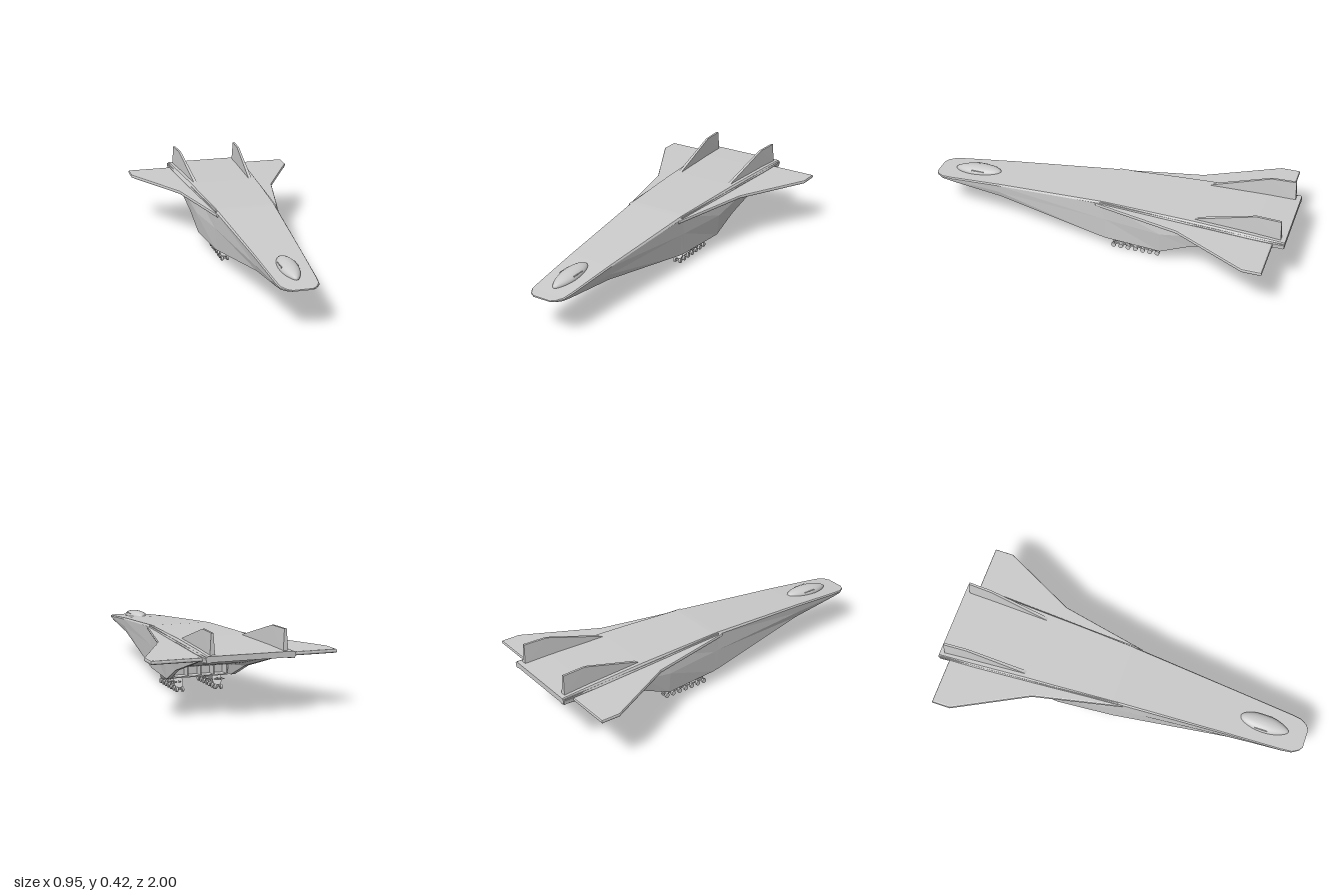
import * as THREE from 'three';

const grey = () => new THREE.MeshStandardMaterial({ color: 0xcccccc, side: THREE.DoubleSide });
const flat = () => new THREE.MeshStandardMaterial({ color: 0xcccccc, flatShading: true });

function add(parent, name, geometry, material = flat()) {
  const mesh = new THREE.Mesh(geometry, material);
  mesh.name = name;
  parent.add(mesh);
  return mesh;
}

function box(parent, name, w, h, d, x, y, z) {
  const mesh = add(parent, name, new THREE.BoxGeometry(w, h, d));
  mesh.position.set(x, y, z);
  return mesh;
}

// Square bar between two points
function beam(parent, name, a, b, w, h = w) {
  const p = new THREE.Vector3(...a), q = new THREE.Vector3(...b);
  const mesh = box(parent, name, w, h, p.distanceTo(q), 0, 0, 0);
  mesh.position.copy(p).lerp(q, 0.5);
  mesh.lookAt(q);
  return mesh;
}

// Hull stations: z, top (x, y), lip (x, y), side (x, y), keel (x, y), recess (x, y)
const STATIONS = [
  [1.0, 0.05, 0.220, 0.052, 0.217, 0.051, 0.215, 0.049, 0.213, 0.04, 0.213],
  [0.985, 0.073, 0.222, 0.076, 0.218, 0.075, 0.215, 0.072, 0.212, 0.06, 0.212],
  [0.95, 0.094, 0.225, 0.098, 0.220, 0.097, 0.214, 0.093, 0.209, 0.08, 0.209],
  [0.89, 0.101, 0.231, 0.106, 0.225, 0.104, 0.213, 0.099, 0.204, 0.088, 0.204],
  [0.6, 0.120, 0.260, 0.125, 0.252, 0.121, 0.210, 0.112, 0.178, 0.10, 0.182],
  [0.0, 0.160, 0.309, 0.168, 0.298, 0.168, 0.204, 0.163, 0.083, 0.13, 0.135],
  [-0.03, 0.163, 0.311, 0.171, 0.299, 0.170, 0.203, 0.166, 0.080, 0.13, 0.135],
  [-0.34, 0.182, 0.317, 0.192, 0.302, 0.202, 0.200, 0.190, 0.080, 0.15, 0.135],
  [-0.5, 0.190, 0.319, 0.202, 0.302, 0.208, 0.230, 0.198, 0.155, 0.165, 0.172],
  [-0.83, 0.210, 0.318, 0.222, 0.300, 0.217, 0.275, 0.212, 0.255, 0.19, 0.262],
  [-1.0, 0.217, 0.313, 0.228, 0.303, 0.226, 0.291, 0.221, 0.280, 0.2, 0.284],
];

function hullGeometry() {
  const rings = STATIONS.map(([z, ...s]) => {
    const right = [];
    for (let i = 0; i < 10; i += 2) right.push([s[i], s[i + 1], z]);
    // inner foot of the keel, beside the belly recess
    right.splice(4, 0, [s[8] + 0.4 * (s[6] - s[8]), s[7], z]);
    return [...right, ...right.map(([x, y]) => [-x, y, z]).reverse()];
  });
  const pos = [];
  const quad = (a, b, c, d) => pos.push(...a, ...b, ...c, ...a, ...c, ...d);
  for (let k = 0; k + 1 < rings.length; k++) {
    const f = rings[k], r = rings[k + 1];
    f.forEach((_, i) => {
      const j = (i + 1) % f.length;
      quad(f[i], f[j], r[j], r[i]);
    });
  }
  // end caps, in strips from side to side
  const cap = (p, front) => {
    const q = (a, b, c, d) => (front ? quad(p[a], p[d], p[c], p[b]) : quad(p[a], p[b], p[c], p[d]));
    q(0, 1, 10, 11);
    q(1, 2, 9, 10);
    q(2, 5, 6, 9);
    q(2, 3, 4, 5);
    q(6, 7, 8, 9);
  };
  cap(rings[0], true);
  cap(rings[rings.length - 1], false);
  const g = new THREE.BufferGeometry();
  g.setAttribute('position', new THREE.Float32BufferAttribute(pos, 3));
  g.computeVertexNormals();
  return g;
}

// Thin wing plate, swept in two stages
function wingGeometry(side) {
  const outline = [[0.14, 0.04], [0.165, 0.02], [0.265, -0.45], [0.467, -0.84], [0.467, -0.932], [0.14, -0.932]];
  const shape = new THREE.Shape(outline.map(([x, z]) => new THREE.Vector2(x * side, z)));
  const g = new THREE.ExtrudeGeometry(shape, {
    depth: 0.006, bevelEnabled: true, bevelThickness: 0.007, bevelSize: 0.008, bevelSegments: 2,
  });
  g.rotateX(Math.PI / 2);
  g.translate(0, 0.291, 0);
  return g;
}

// Fin, thinner toward its top and nose, toed out to follow the hull edge
function finGeometry(side) {
  const outline = [[0.5, 0.31], [0.53, 0.325], [0.84, 0.417], [0.97, 0.417], [0.975, 0.31]];
  const shape = new THREE.Shape(outline.map(([u, y]) => new THREE.Vector2(u, y)));
  const g = new THREE.ExtrudeGeometry(shape, { depth: 1, bevelEnabled: false });
  g.translate(0, 0, -0.5);
  g.rotateY(Math.PI / 2);
  const p = g.attributes.position;
  for (let i = 0; i < p.count; i++) {
    const rise = (p.getY(i) - 0.31) / 0.107;
    const along = (-p.getZ(i) - 0.5) / 0.475;
    const thick = 0.012 + 0.014 * (1 - rise) * (0.4 + 0.6 * along);
    p.setX(i, p.getX(i) * thick + side * (0.162 + 0.024 * along));
  }
  g.computeVertexNormals();
  return g;
}

// Fourteen-wheel bogie with splayed legs
function landingGear(side) {
  const gear = new THREE.Group();
  gear.name = side > 0 ? 'leftLandingGear' : 'rightLandingGear';
  gear.position.set(side * 0.107, 0, -0.185);
  box(gear, 'gearHousing', 0.034, 0.028, 0.12, 0, 0.07, 0);
  box(gear, 'bogieBeam', 0.01, 0.008, 0.25, 0, 0.017, 0);
  for (let i = -3; i <= 3; i++) {
    const z = i * 0.041;
    box(gear, 'axle', 0.036, 0.005, 0.005, 0, 0.013, z);
    for (const s of [-1, 1]) {
      const wheel = new THREE.CylinderGeometry(0.013, 0.013, 0.011, 14);
      wheel.rotateZ(Math.PI / 2);
      wheel.translate(s * 0.016, 0.013, z);
      add(gear, 'wheel', wheel, grey());
    }
  }
  for (const e of [-1, 1]) {
    for (const s of [-0.012, 0.012]) {
      beam(gear, 'outerLeg', [s, 0.082, e * 0.088], [s, 0.018, e * 0.122], 0.006);
      beam(gear, 'middleLeg', [s, 0.082, e * 0.088], [s, 0.018, e * 0.075], 0.006);
      beam(gear, 'innerLeg', [s, 0.062, e * 0.045], [s, 0.018, e * 0.03], 0.006);
    }
    // shaped plate across the end legs
    const half = [[0.017, 0.0], [0.024, 0.02], [0.025, 0.042], [0.02, 0.066]];
    const pts = [...half, ...half.map(([x, y]) => [-x, y]).reverse()];
    const plate = new THREE.ExtrudeGeometry(
      new THREE.Shape(pts.map(([x, y]) => new THREE.Vector2(x, y))), { depth: 0.003, bevelEnabled: false });
    const mesh = add(gear, 'legPlate', plate);
    mesh.position.set(0, 0.022, e * 0.12);
    mesh.rotation.x = -e * 0.48;
  }
  return gear;
}

export function createModel() {
  const model = new THREE.Group();
  model.name = 'spaceplane';
  add(model, 'hull', hullGeometry());

  // Canopy, drawn out to a point at the front
  const dome = new THREE.SphereGeometry(1, 28, 18);
  const p = dome.attributes.position;
  for (let i = 0; i < p.count; i++) {
    const z = p.getZ(i), taper = z > 0 ? 1 - 0.3 * z * z : 1;
    p.setXYZ(i, p.getX(i) * 0.05 * taper, p.getY(i) * 0.031, z * 0.135);
  }
  dome.computeVertexNormals();
  const canopy = add(model, 'canopy', dome, grey());
  canopy.position.set(0, 0.244, 0.77);
  canopy.rotation.x = 0.08;

  // Engine duct under the belly: floor, dividers and core
  box(model, 'ductFloor', 0.29, 0.006, 0.31, 0, 0.083, -0.185);
  for (let i = -2; i <= 2; i++) {
    beam(model, 'ductDivider', [i * 0.064, 0.108, -0.03], [i * 0.073, 0.108, -0.34], 0.006, 0.056);
  }
  box(model, 'engineCore', 0.28, 0.056, 0.2, 0, 0.108, -0.185);

  for (const side of [1, -1]) {
    const label = side > 0 ? 'left' : 'right';
    add(model, label + 'Wing', wingGeometry(side));
    add(model, label + 'Fin', finGeometry(side));
    beam(model, label + 'EdgeRail', [side * 0.162, 0.292, 0], [side * 0.217, 0.294, -0.995], 0.018, 0.03);
    box(model, label + 'CanopyWindow', 0.004, 0.006, 0.07, side * 0.043, 0.259, 0.76);
    model.add(landingGear(side));
  }
  return model;
}
